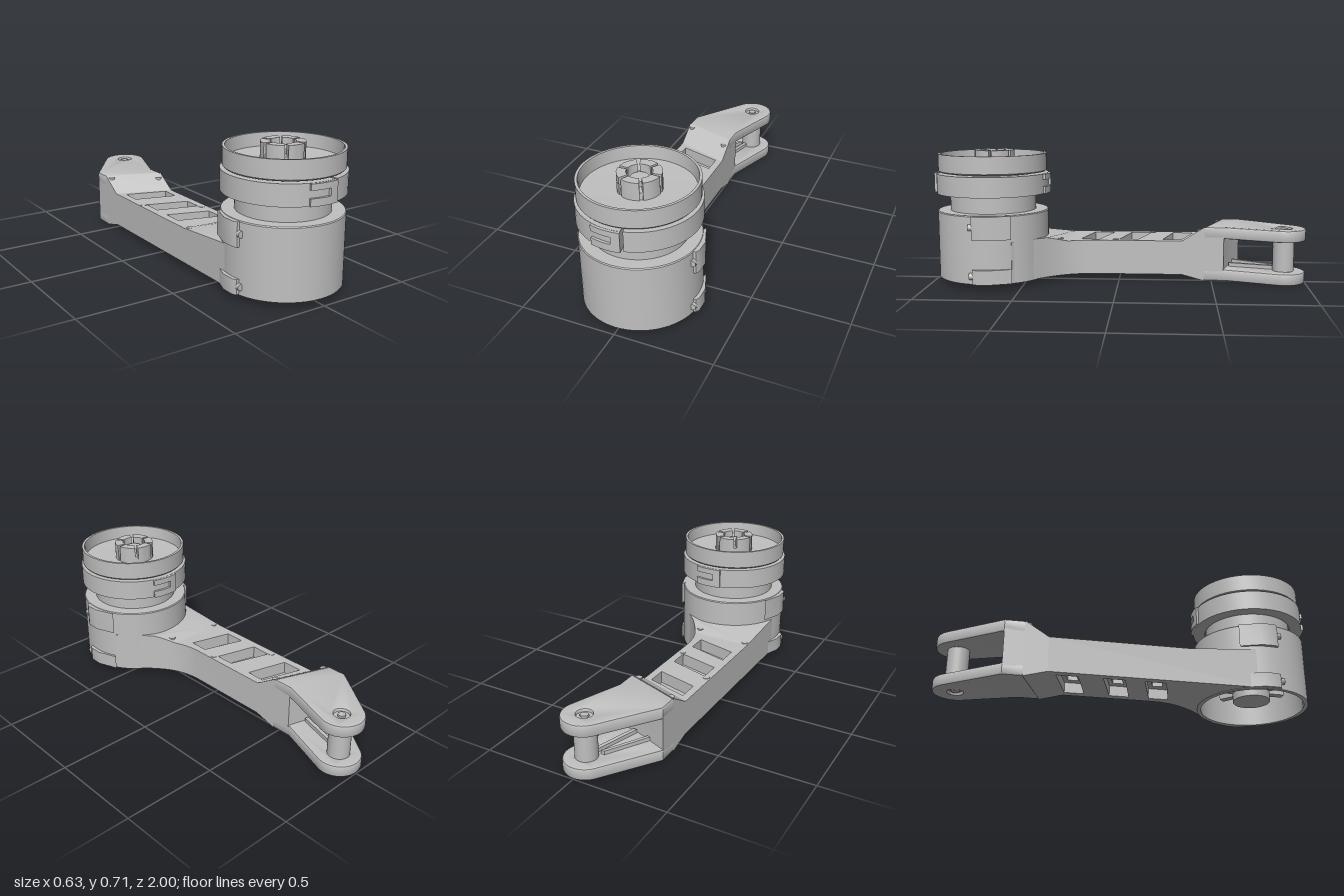
import * as THREE from 'three';
import { toCreasedNormals } from 'three/addons/utils/BufferGeometryUtils.js';

const CZ = 0.685; // z of the drum axis
const PZ = -0.885; // z of the fork pin

// points [x, z] along an arc
function arc(cx, cz, r, a0, a1, n = 24) {
  return Array.from({ length: n + 1 }, (_, i) => {
    const a = a0 + ((a1 - a0) * i) / n;
    return [cx + r * Math.cos(a), cz + r * Math.sin(a)];
  });
}

// plan outline [x, z] raised from y0 to y1, with optional holes, bevel and vertex rule
function slab(points, y0, y1, { holes = [], bevel = 0, rule } = {}) {
  const toV = ([x, z]) => new THREE.Vector2(x, -z);
  const shape = new THREE.Shape(points.map(toV));
  shape.holes = holes.map((h) => new THREE.Path(h.map(toV)));
  const g = new THREE.ExtrudeGeometry(shape, {
    depth: y1 - y0 - 2 * bevel, bevelEnabled: bevel > 0, bevelSize: bevel,
    bevelThickness: bevel, bevelOffset: -bevel, bevelSegments: 2,
  });
  g.rotateX(-Math.PI / 2).translate(0, y0 + bevel, 0);
  if (rule) {
    const p = g.attributes.position;
    for (let i = 0; i < p.count; i++) p.setY(i, rule(p.getX(i), p.getY(i), p.getZ(i)));
  }
  return toCreasedNormals(g, 0.6);
}

const ringPart = (r0, r1, a0, a1, y0, y1, n = 24, cz = CZ) =>
  slab([...arc(0, cz, r1, a0, a1, n), ...arc(0, cz, r0, a1, a0, n)], y0, y1);

const lathe = (pts) => toCreasedNormals(
  new THREE.LatheGeometry(pts.map(([r, y]) => new THREE.Vector2(r, y)), 64), 0.6).translate(0, 0, CZ);

export function createModel() {
  const group = new THREE.Group();
  const grey = new THREE.MeshStandardMaterial({ color: 0xc0c0c0, side: THREE.DoubleSide });
  grey.name = 'lightGrey';
  const add = (name, geometry) => {
    const m = new THREE.Mesh(geometry, grey);
    m.name = name;
    group.add(m);
    return m;
  };
  const cyl = (name, r, h, x, y, z, sides = 24) => {
    const m = add(name, new THREE.CylinderGeometry(r, r, h, sides));
    m.position.set(x, y, z);
    return m;
  };

  // drum: open-bottomed shell, neck, and cup with a thin rim
  add('drumShell', lathe([[0, 0.25], [0.275, 0.25], [0.275, 0.032], [0.297, 0.032],
    [0.297, 0.385], [0.293, 0.39], [0, 0.39]]));
  add('neck', lathe([[0, 0.38], [0.23, 0.38], [0.23, 0.5], [0.24, 0.5], [0.24, 0.605], [0, 0.605]]));
  add('cup', lathe([[0, 0.595], [0.284, 0.595], [0.29, 0.602], [0.29, 0.693], [0.277, 0.693],
    [0.272, 0.625], [0, 0.615]]));

  // mechanism inside the bottom of the drum
  cyl('innerCore', 0.1, 0.19, 0, 0.165, CZ);
  for (let i = 0; i < 8; i++) {
    const a = (i * Math.PI) / 4;
    const rib = add('innerRib', new THREE.BoxGeometry(0.1, 0.14, 0.04));
    rib.position.set(0.13 * Math.cos(a), 0.185, CZ + 0.13 * Math.sin(a));
    rib.rotation.y = -a;
  }

  // hub with jaws in the cup
  cyl('hubBase', 0.1, 0.045, 0, 0.633, 0.675);
  cyl('hubCentre', 0.045, 0.07, 0, 0.645, 0.675);
  for (let i = 0; i < 6; i++) {
    const a = (i * Math.PI) / 3;
    add('hubJaw', ringPart(0.062, 0.107, a + 0.08, a + 0.97, 0.61, 0.71, 5, 0.675));
  }

  // split clamp ring with a windowed lug at front and back
  const gap = 1.37;
  add('clampRing', ringPart(0.235, 0.3, gap + 0.02, gap + 2 * Math.PI - 0.02, 0.482, 0.588, 64));
  for (const turn of [0, Math.PI]) {
    const a = gap + 0.02 + turn;
    add('clampLug', ringPart(0.285, 0.313, a, a + 0.14, 0.483, 0.587, 4));
    add('clampStrip', ringPart(0.285, 0.313, a + 0.14, a + 0.48, 0.557, 0.587, 8));
    add('clampStrip', ringPart(0.285, 0.313, a + 0.14, a + 0.48, 0.483, 0.52, 8));
  }

  // side lugs with bolts that join the halves of the drum
  for (const s of [-1, 1]) {
    const outline = [[0.278, 0.74], [0.305, 0.74], [0.315, 0.72], [0.315, 0.65], [0.275, 0.54], [0.262, 0.58], [0.28, 0.66]];
    for (const [y0, y1, by] of [[0.265, 0.388, 0.33], [0.034, 0.11, 0.075]]) {
      add('drumLug', slab(outline.map(([x, z]) => [s * x, z]), y0, y1));
      cyl('lugBolt', 0.018, 0.02, s * 0.294, by, 0.748, 6).rotation.x = Math.PI / 2;
    }
  }

  // arm: pocketed frame, slotted floor
  const slots = [-0.325, -0.09, 0.12];
  const pockets = slots.map((c) => [[-0.25, c - 0.08], [-0.03, c - 0.012], [-0.03, c + 0.09], [-0.25, c + 0.03]]);
  const slits = slots.map((c) => [[-0.21, c - 0.05], [-0.065, c + 0.002], [-0.07, c + 0.055], [-0.215, c + 0.005]]);
  const bend = new THREE.CubicBezierCurve(
    new THREE.Vector2(0.01, 0.13), new THREE.Vector2(0.02, 0.32),
    new THREE.Vector2(0.12, 0.38), new THREE.Vector2(0.263, 0.541)).getPoints(20).map((p) => [p.x, p.y]);
  const drumEdge = arc(0, CZ, 0.286, -0.5, -Math.PI + 0.1);
  const armOutline = [[-0.29, -0.45], [0.01, -0.34], ...bend, ...drumEdge, [-0.29, 0.66]];
  add('armFrame', slab(armOutline, 0.035, 0.22, { holes: pockets }));
  add('armFloor', slab([[-0.27, -0.42], [-0.01, -0.33], [-0.01, 0.25], [-0.27, 0.25]], 0.09, 0.155, { holes: slits }));

  // slope from the arm up to the drum
  const slope = [[-0.29, 0.27], ...bend.filter(([, z]) => z > 0.26), ...drumEdge, [-0.29, 0.66]];
  add('armFillet', slab(slope, 0.2, 0.22, {
    rule: (x, y, z) => (y > 0.21 ? 0.22 + 0.03 * THREE.MathUtils.clamp((z - 0.28) / 0.1, 0, 1) : y),
  }));

  // ramp widening the arm into the fork
  add('forkRamp', slab([[0.01, -0.34], [0.01, -0.46], [-0.29, -0.57], [-0.29, -0.45]], 0.035, 0.22, {
    rule: (x, y, z) => {
      const t = THREE.MathUtils.clamp((-0.344 - (z - 0.367 * x)) / 0.12, 0, 1);
      return y + t * (y > 0.1 ? 0.077 : -0.033);
    },
  }));

  // fork: solid root, two plates, ribs and pin
  const root = [[0.01, -0.46], [0.01, -0.565], [-0.12, -0.6], [-0.29, -0.67], [-0.29, -0.57]];
  add('forkRoot', slab(root, 0.05, 0.25));
  const forkOutline = [[0.01, -0.46], [0.01, -0.57], ...arc(0, PZ, 0.115, 0.3, -2.5), [-0.29, -0.67], [-0.29, -0.57]];
  const hole = arc(0, PZ, 0.04, 0, Math.PI * 1.92, 23);
  for (const [y0, y1] of [[0.002, 0.065], [0.232, 0.297]]) {
    add('forkPlate', slab(forkOutline, y0, y1, { holes: [hole], bevel: 0.01 }));
  }
  for (const [x0, x1] of [[-0.21, -0.07], [-0.1, -0.03]]) {
    add('forkRib', slab([[x0, -0.6], [x0 + 0.02, -0.6], [x1 + 0.02, -0.84], [x1, -0.84]], 0.06, 0.085));
  }
  cyl('pin', 0.057, 0.17, 0, 0.148, PZ);
  cyl('pinBolt', 0.041, 0.26, 0, 0.15, PZ);
  for (const y of [0.018, 0.282]) cyl('pinBoltHead', 0.022, 0.018, 0, y, PZ, 6);

  // small screws set almost flush along the arm
  const screws = [[-0.265, -0.18, 0.222], [-0.017, 0.02, 0.222], [-0.265, 0.29, 0.226],
    [0.03, 0.32, 0.235], [-0.265, -0.55, 0.291], [-0.017, -0.44, 0.28]];
  for (const [x, z, top] of screws) cyl('armScrew', 0.018, 0.02, x, top - 0.01, z, 12);

  return group;
}
